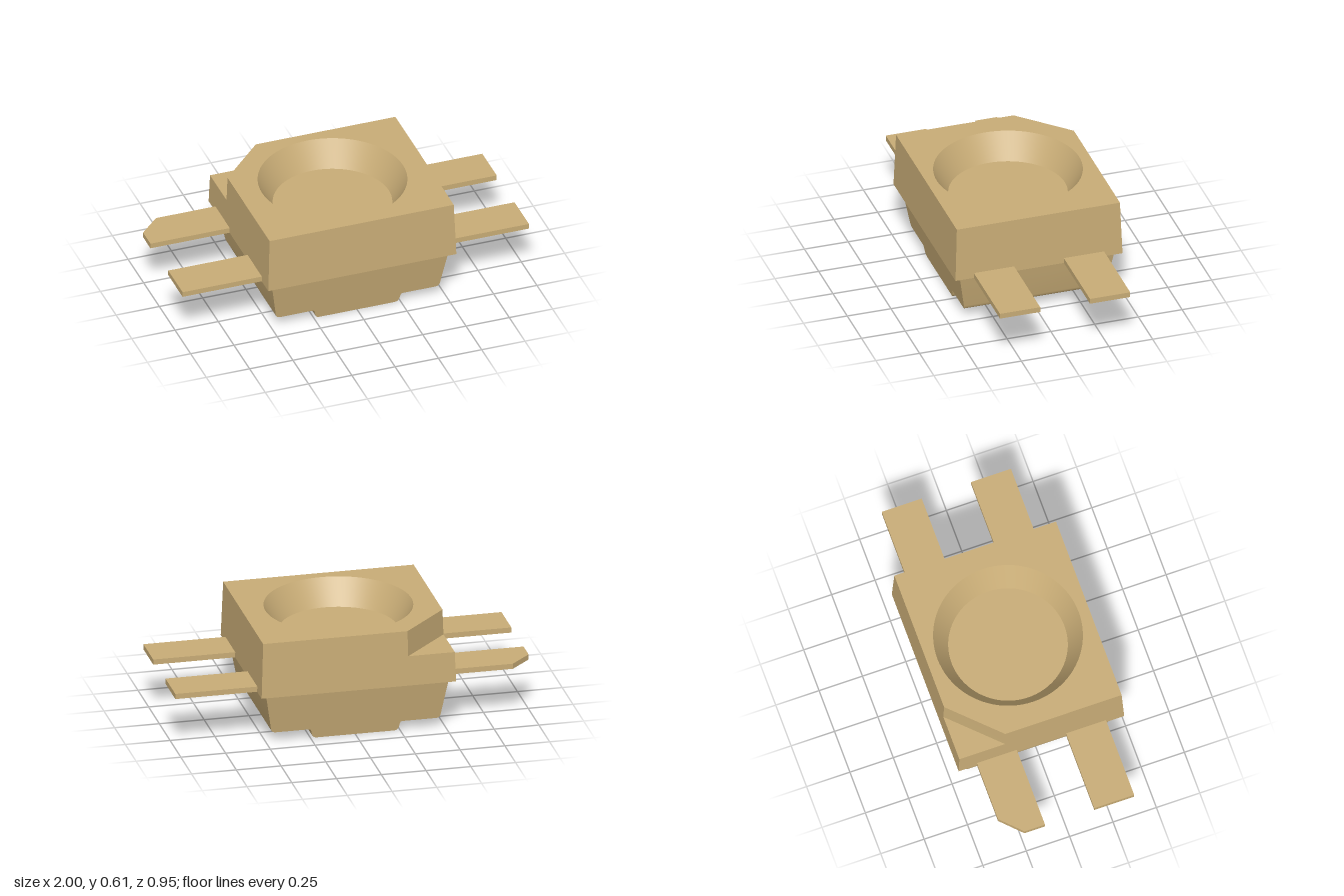
import * as THREE from 'three';
import { toCreasedNormals } from 'three/addons/utils/BufferGeometryUtils.js';

const FLOOR = 0.46, RIM = 0.605, BASE = 0.29;

// Moves every vertex of a geometry by a rule
function reshape(geo, rule) {
  const p = geo.attributes.position, v = new THREE.Vector3();
  for (let i = 0; i < p.count; i++) {
    rule(v.fromBufferAttribute(p, i));
    p.setXYZ(i, v.x, v.y, v.z);
  }
  return geo;
}

// Plan outline given as [x, z] points
const plan = (pts) => new THREE.Shape(pts.map(([x, z]) => new THREE.Vector2(x, -z)));

function slab(shape, y0, y1) {
  const geo = new THREE.ExtrudeGeometry(shape, { depth: y1 - y0, bevelEnabled: false, curveSegments: 40 });
  return geo.rotateX(-Math.PI / 2).translate(0, y0, 0);
}

function circleHole(shape, r) {
  shape.holes.push(new THREE.Path().absarc(0, 0, r, 0, Math.PI * 2, true));
  return shape;
}

export function createModel() {
  const group = new THREE.Group();
  const tan = new THREE.MeshStandardMaterial({ color: 0xc8ac76 });
  tan.name = 'tan';
  const add = (name, geo) => {
    const mesh = new THREE.Mesh(toCreasedNormals(geo, 0.6), tan);
    mesh.name = name;
    group.add(mesh);
  };

  // Housing walls lean in slightly; the cup narrows towards its floor
  const X = 0.543, Z = 0.477;
  const taper = (v) => {
    const t = (v.y - BASE) / (RIM - BASE);
    if (Math.hypot(v.x, v.z) < 0.42) {
      const s = v.y < FLOOR + 0.01 ? 0.325 / 0.407 : 1;
      v.x *= s; v.z *= s;
    } else {
      v.x *= 1 - 0.011 * t / X;
      v.z *= 1 - 0.011 * t / Z;
    }
  };
  const lower = plan([[-X, Z], [X, Z], [X, -Z], [-X, -Z]]);
  add('housingBase', reshape(slab(lower, BASE, FLOOR), taper));

  // Upper housing with the cut corner and round cup
  const upper = circleHole(plan([[-X, Z], [X, Z], [X, -Z], [-0.28, -Z], [-X, -0.21]]), 0.407);
  add('housingTop', reshape(slab(upper, FLOOR, RIM), taper));

  // Stepped underside: mirrored half profile, sides sloping with height
  const half = [[0.51, BASE], [0.474, 0.08], [0.47, 0.066], [0.463, 0.058], [0.45, 0.055],
    [0.26, 0.055], [0.252, 0.052], [0.248, 0.045], [0.243, 0.022], [0.238, 0.01], [0.23, 0.003], [0.218, 0]];
  const profile = [...half, ...half.map(([x, y]) => [-x, y]).reverse()];
  const body = new THREE.ExtrudeGeometry(
    new THREE.Shape(profile.map(([x, y]) => new THREE.Vector2(x, y))),
    { depth: 2, bevelEnabled: false }).translate(0, 0, -1);
  reshape(body, (v) => { v.z = Math.sign(v.z) * (0.392 + 0.051 * v.y / BASE); });
  // Leave out the flat bottom, which is replaced by a face with a hole
  const src = body.attributes.position.array, kept = [];
  for (let i = 0; i < src.length; i += 9) {
    if (Math.max(src[i + 1], src[i + 4], src[i + 7]) > 1e-4) kept.push(...src.slice(i, i + 9));
  }
  const open = new THREE.BufferGeometry();
  open.setAttribute('position', new THREE.Float32BufferAttribute(kept, 3));
  add('underbody', open);

  const sole = circleHole(new THREE.Shape([[-0.218, -0.392], [0.218, -0.392], [0.218, 0.392], [-0.218, 0.392]]
    .map(([x, y]) => new THREE.Vector2(x, y))), 0.133);
  add('sole', new THREE.ShapeGeometry(sole, 40).rotateX(Math.PI / 2));

  // Shallow round recess in the sole
  const wall = [[0.133, 0.05], [0.133, 0]].map(([x, y]) => new THREE.Vector2(x, y));
  add('recessWall', new THREE.LatheGeometry(wall, 80));
  add('recessCeiling', new THREE.CircleGeometry(0.133, 80).rotateX(Math.PI / 2).translate(0, 0.05, 0));

  // Four flat leads, one with a clipped corner
  for (const sx of [-1, 1]) {
    for (const sz of [-1, 1]) {
      const clipped = sx < 0 && sz < 0;
      const pts = clipped
        ? [[-0.54, -0.372], [-0.885, -0.372], [-1, -0.26], [-1, -0.142], [-0.54, -0.142]]
        : [[0.54, 0.142], [1, 0.142], [1, 0.372], [0.54, 0.372]].map(([x, z]) => [x * sx, z * sz]);
      add(clipped ? 'clippedLead' : 'lead', slab(plan(pts), BASE, 0.32));
    }
  }
  return group;
}
